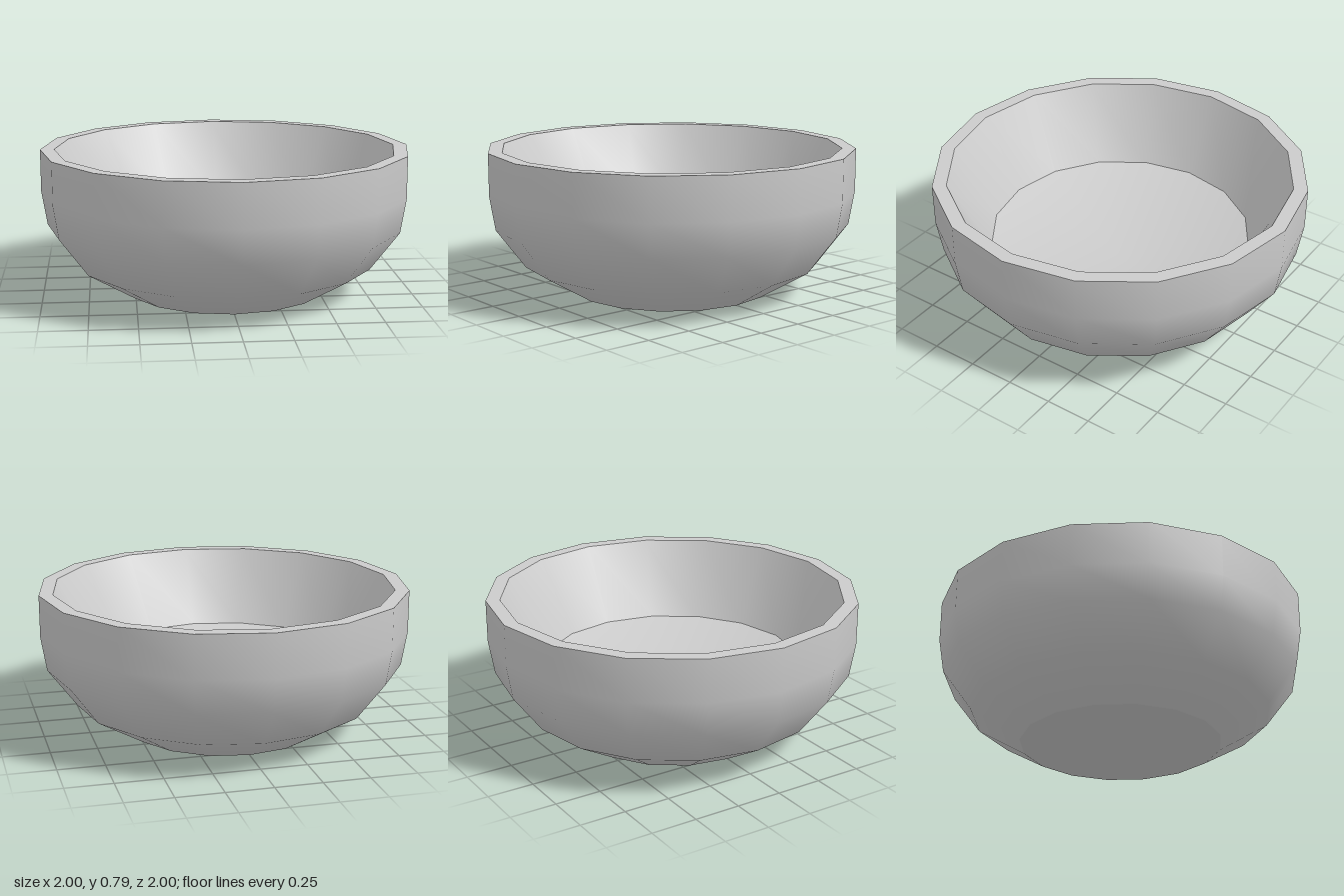
import * as THREE from 'three';
import { mergeVertices } from 'three/addons/utils/BufferGeometryUtils.js';

const SIDES = 16;

export function createModel() {
  const group = new THREE.Group();
  group.name = 'bowl';
  const material = new THREE.MeshStandardMaterial({ color: 0xcccccc });

  // Each part is a separate lathe, smooth within itself, so edges between parts stay sharp.
  // Profiles run from the base centre, up the outside and back down the inside.
  function addLathe(name, profile) {
    const points = profile.map(([r, y]) => new THREE.Vector2(r, y));
    const lathe = new THREE.LatheGeometry(points, SIDES);
    lathe.deleteAttribute('uv');
    lathe.deleteAttribute('normal');
    const geometry = mergeVertices(lathe);
    geometry.computeVertexNormals();
    const mesh = new THREE.Mesh(geometry, material);
    mesh.name = name;
    group.add(mesh);
  }

  addLathe('base', [[0, 0], [0.545, 0]]);
  addLathe('outerWall', [[0.545, 0], [0.812, 0.16], [0.97, 0.372], [1, 0.555], [1, 0.785]]);
  addLathe('rim', [[1, 0.785], [0.925, 0.785]]);
  addLathe('innerWall', [[0.925, 0.785], [0.71, 0.375]]);
  // Shallow dish sinking towards the centre
  addLathe('innerFloor', [[0.71, 0.375], [0, 0.19]]);

  return group;
}
